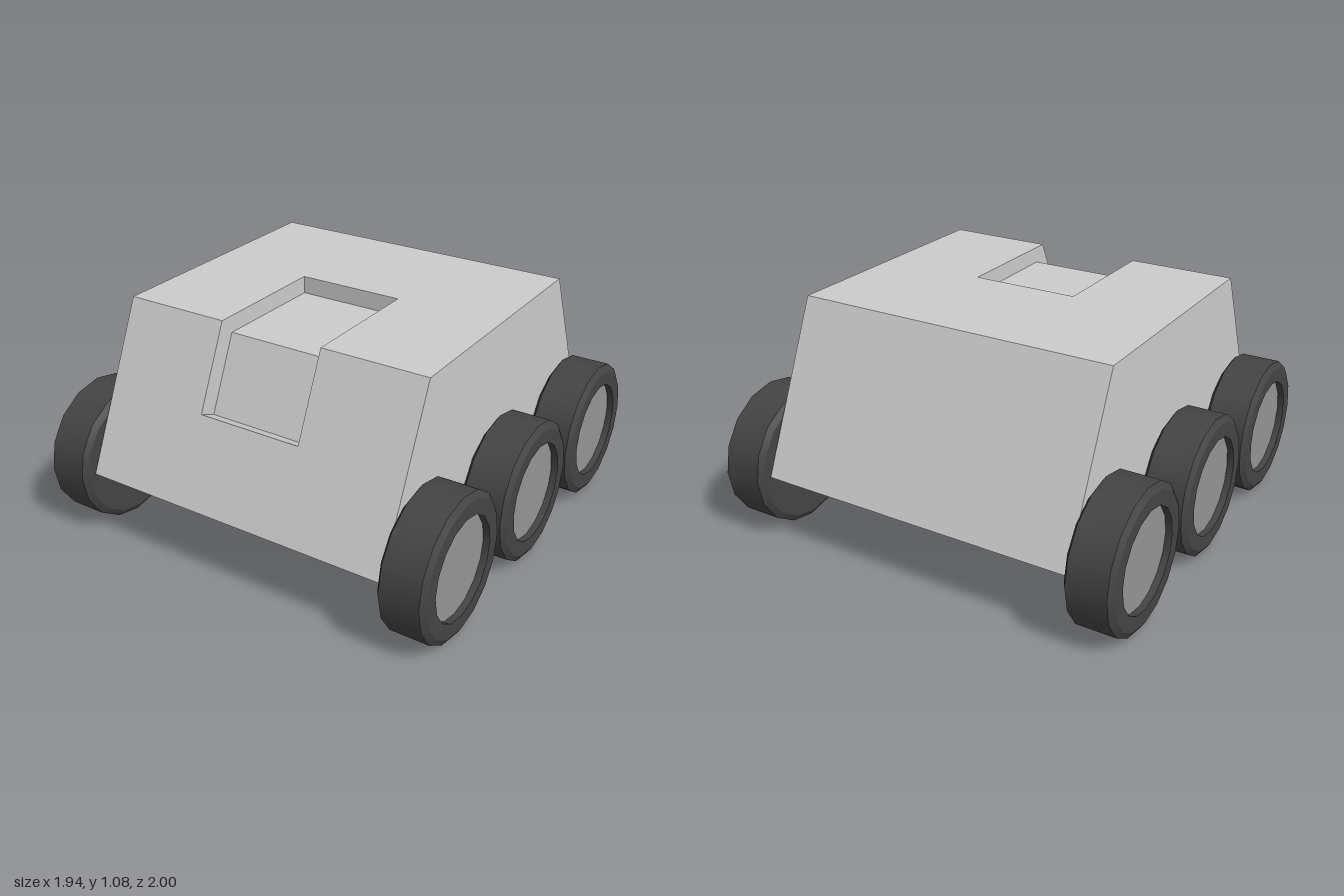
import * as THREE from 'three';
import { toCreasedNormals } from 'three/addons/utils/BufferGeometryUtils.js';

const bodyMaterial = new THREE.MeshStandardMaterial({ color: 0xcccccc });
const tireMaterial = new THREE.MeshStandardMaterial({ color: 0x444444 });
const hubMaterial = new THREE.MeshStandardMaterial({ color: 0x959595 });

// Side profile of the body, as [z, y]
const frontLow = [0.94, 0.33], frontTop = [0.6, 1.07];
const backTop = [-0.6, 1.08], backLow = [-0.94, 0.33];
// Windscreen notch, from its front lip over the sunken floor to its back wall
const lip = [0.77, 0.7], ledge = [0.69, 0.665], bend = [0.54, 0.995];
const floorBack = [0, 0.995], rimBack = [0, 1.075];

const HALF_WIDTH = 0.75, NOTCH = 0.25;

function createBody() {
  const positions = [];
  const quad = (a, b, c, d) => {
    for (const p of [a, b, c, a, c, d]) positions.push(...p);
  };
  const at = (x, [z, y]) => [x, y, z];

  // Sweep a closed profile across the width from x0 to x1
  const sweep = (profile, x0, x1) => profile.forEach((p, i) => {
    const q = profile[(i + 1) % profile.length];
    quad(at(x0, p), at(x1, p), at(x1, q), at(x0, q));
  });
  // A flat four-cornered wall at x = -x, mirrored to +x
  const wallPair = (x, corners) => {
    quad(...corners.map((p) => at(-x, p)));
    quad(...[...corners].reverse().map((p) => at(x, p)));
  };

  const hull = [frontLow, frontTop, backTop, backLow];
  sweep(hull, -HALF_WIDTH, -NOTCH);
  sweep(hull, NOTCH, HALF_WIDTH);
  sweep([frontLow, lip, ledge, bend, floorBack, rimBack, backTop, backLow], -NOTCH, NOTCH);
  wallPair(HALF_WIDTH, hull);
  // Cheeks of the notch
  wallPair(NOTCH, [lip, ledge, bend, frontTop]);
  wallPair(NOTCH, [frontTop, bend, floorBack, rimBack]);

  const geometry = new THREE.BufferGeometry();
  geometry.setAttribute('position', new THREE.Float32BufferAttribute(positions, 3));
  geometry.computeVertexNormals();
  const body = new THREE.Mesh(geometry, bodyMaterial);
  body.name = 'body';
  return body;
}

// Tire with chamfered shoulders and a shallow dish on its outer side
const SIDES = 16, WIDTH = 0.215, RADIUS = 0.323, DISH = 0.03;
const tireProfile = [
  [0, 0], [0.295, 0], [RADIUS, 0.018], [RADIUS, WIDTH - 0.018],
  [0.295, WIDTH], [0.227, WIDTH], [0.227, WIDTH - DISH],
].map(([r, h]) => new THREE.Vector2(r, h));
const tireGeometry = toCreasedNormals(new THREE.LatheGeometry(tireProfile, SIDES), Math.PI / 6);
const hubGeometry = new THREE.CircleGeometry(0.227, SIDES)
  .rotateX(-Math.PI / 2).translate(0, WIDTH - DISH, 0);

function createWheel(side, z, name) {
  const wheel = new THREE.Group();
  const tire = new THREE.Mesh(tireGeometry, tireMaterial);
  const hub = new THREE.Mesh(hubGeometry, hubMaterial);
  tire.name = 'tire';
  hub.name = 'hub';
  wheel.add(tire, hub);
  wheel.rotation.z = -side * Math.PI / 2;
  wheel.position.set(side * 0.755, 0.325, z);
  wheel.name = name;
  return wheel;
}

export function createModel() {
  const model = new THREE.Group();
  model.name = 'sixWheeledVehicle';
  model.add(createBody());

  // Three wheels down each side
  const rows = [['front', 0.677], ['middle', 0], ['back', -0.677]];
  for (const [row, z] of rows) {
    model.add(createWheel(1, z, row + 'LeftWheel'));
    model.add(createWheel(-1, z, row + 'RightWheel'));
  }
  return model;
}
